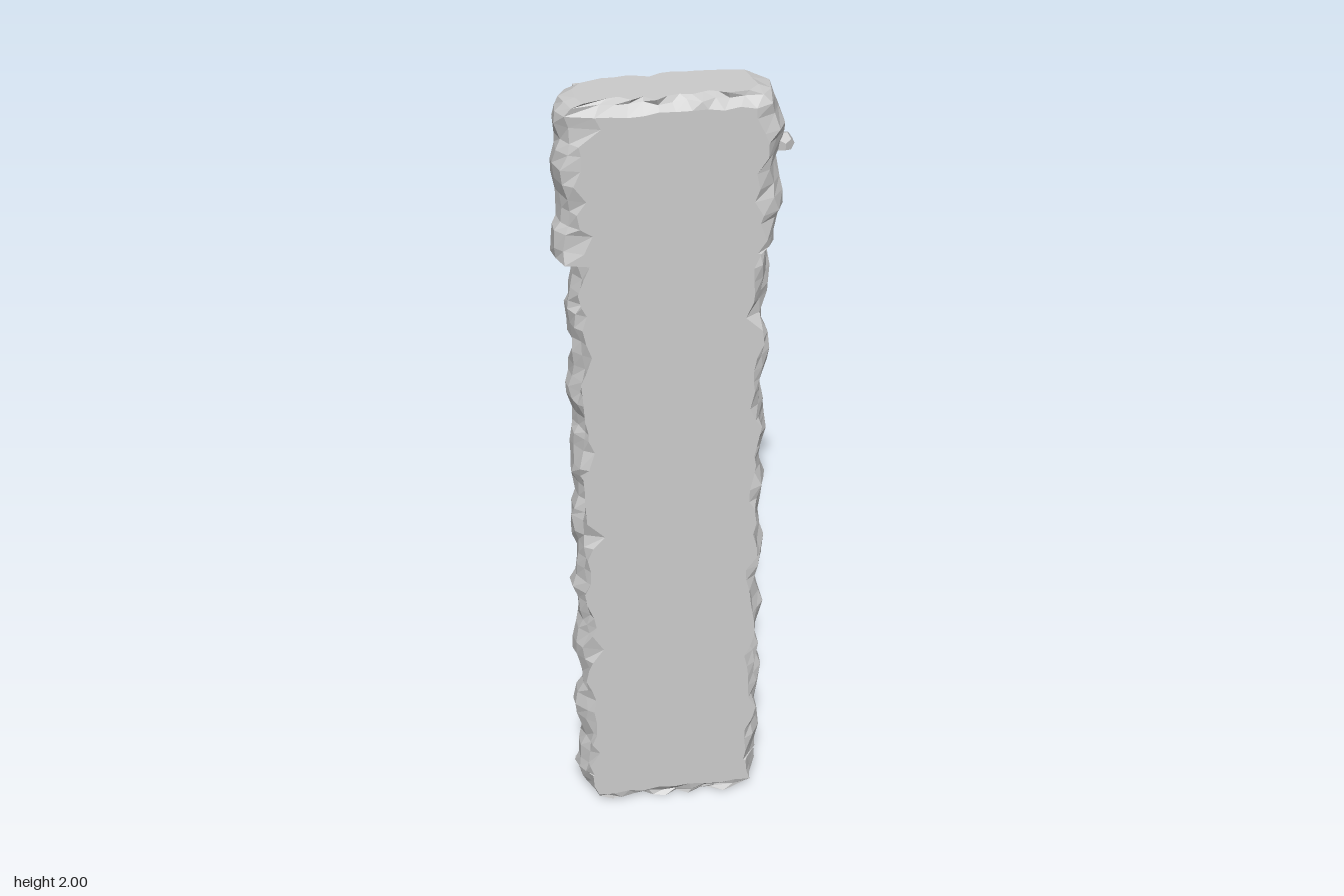
import * as THREE from 'three';

// Small seeded generator for the chipped edges
function seeded(seed) {
  return () => {
    seed = (seed * 1664525 + 1013904223) % 4294967296;
    return seed / 4294967296;
  };
}

const CENTRE = -0.01, FRONT = 0.075, FACE_STEPS = 10;

// Ring heights: rounded ends, sharp steps at the foot and head, loose spacing between
function ringHeights(rand) {
  const keys = [0.06, 0.095, 0.097, 1.599, 1.601, 1.94];
  const ys = [0, 0.012, 0.032];
  keys.forEach((k, i) => {
    const from = ys[ys.length - 1], n = Math.max(1, Math.round((k - from) / 0.034));
    for (let j = 1; j < n; j++) ys.push(from + (k - from) * (j + (rand() - 0.5) * 0.5) / n);
    ys.push(k);
  });
  return [...ys, 1.968, 1.988, 2];
}

// One horizontal cross-section: flat front, chipped side, flat back, chipped side
function ring(y, rand, drift) {
  const head = y > 1.6, foot = y < 0.096;
  const end = Math.min(y, 2 - y);
  const round = end < 0.06 ? 0.05 * (1 - Math.sqrt(1 - (1 - end / 0.06) ** 2)) : 0;
  const half = (head ? 0.27 : 0.245) - round;
  const back = head || foot ? -0.066 : -0.05;
  const corner = head ? Math.max(0, (y - 1.88) / 0.12) * 0.03 : 0;
  const chip = () => (end < 0.025 ? (1 - end / 0.025) * rand() : 0);
  const edge = (s) => {
    const wave = 0.009 * Math.sin(y * 23 + drift * s) + 0.006 * Math.sin(y * 51 + s);
    return half - (head ? 0.055 : 0.038) - corner + wave - 0.012 * rand() - (rand() < 0.07 ? 0.025 : 0);
  };
  const pts = [];
  const face = (s, z, depth) => {
    const a = -s * edge(-s), b = s * edge(s);
    for (let i = 0; i <= FACE_STEPS; i++) {
      const x = a + (b - a) * i / FACE_STEPS;
      const dy = end > 0 && end < 0.035 ? (rand() - 0.5) * 0.009 : 0;
      pts.push([CENTRE + x, y + dy, z - Math.sign(z) * depth * chip()]);
    }
  };
  const side = (s) => {
    const bulge = 0.007 * Math.sin(y * 33 + s * 2) - 0.007;
    [0.85, 0.6, 0.35, 0.12].forEach((t, i) => {
      const u = s > 0 ? t : 1 - t;
      const arc = [0.02, 0.003, 0.001, 0.018][s > 0 ? i : 3 - i];
      const x = half - arc + bulge - 0.014 * rand();
      const z = back + (FRONT - back) * (u + (rand() - 0.5) * 0.1);
      pts.push([CENTRE + s * x, y, z]);
    });
  };
  face(1, FRONT, 0.045);
  side(1);
  face(-1, back, 0.018);
  side(-1);
  return pts;
}

function slabGeometry() {
  const rand = seeded(71);
  const rings = ringHeights(rand).map((y) => ring(y, rand, 1.7));
  const n = rings[0].length, pos = [], index = [];
  rings.forEach((r) => r.forEach((p) => pos.push(...p)));
  for (let i = 0; i < rings.length - 1; i++) {
    for (let j = 0; j < n; j++) {
      const a = i * n + j, b = i * n + (j + 1) % n;
      index.push(a, b, b + n, a, b + n, a + n);
    }
  }
  // Flat end caps
  const base = rings.length * n, last = base - n;
  pos.push(CENTRE, 0, 0, CENTRE, 2, 0);
  for (let j = 0; j < n; j++) {
    const k = (j + 1) % n;
    index.push(base, k, j, base + 1, last + j, last + k);
  }
  const geo = new THREE.BufferGeometry();
  geo.setAttribute('position', new THREE.Float32BufferAttribute(pos, 3));
  geo.setIndex(index);
  const flat = geo.toNonIndexed();
  flat.computeVertexNormals();
  return flat;
}

export function createModel() {
  const group = new THREE.Group();
  const stone = new THREE.MeshStandardMaterial({ color: 0xcccccc, flatShading: true });
  const add = (name, geo, x = 0, y = 0, z = 0) => {
    const mesh = new THREE.Mesh(geo, stone);
    mesh.name = name;
    mesh.position.set(x, y, z);
    group.add(mesh);
    return mesh;
  };

  add('stoneSlab', slabGeometry());

  // Thin raised ribs across the back: height, thickness, outermost z
  const ribs = [
    [0.365, 0.02, -0.065], [0.425, 0.014, -0.062], [0.482, 0.02, -0.065],
    [1.275, 0.024, -0.066], [1.365, 0.022, -0.066],
    [1.845, 0.035, -0.075], [1.975, 0.02, -0.071],
  ];
  ribs.forEach(([y, h, z], i) => {
    add('backRib' + (i + 1), new THREE.BoxGeometry(0.4, h, 0.04), CENTRE, y, z + 0.02);
  });

  // Small stone knob on the left edge of the head
  const knob = add('edgeKnob', new THREE.DodecahedronGeometry(0.025), 0.254, 1.845, 0.005);
  knob.scale.set(1, 0.9, 1.3);
  return group;
}
